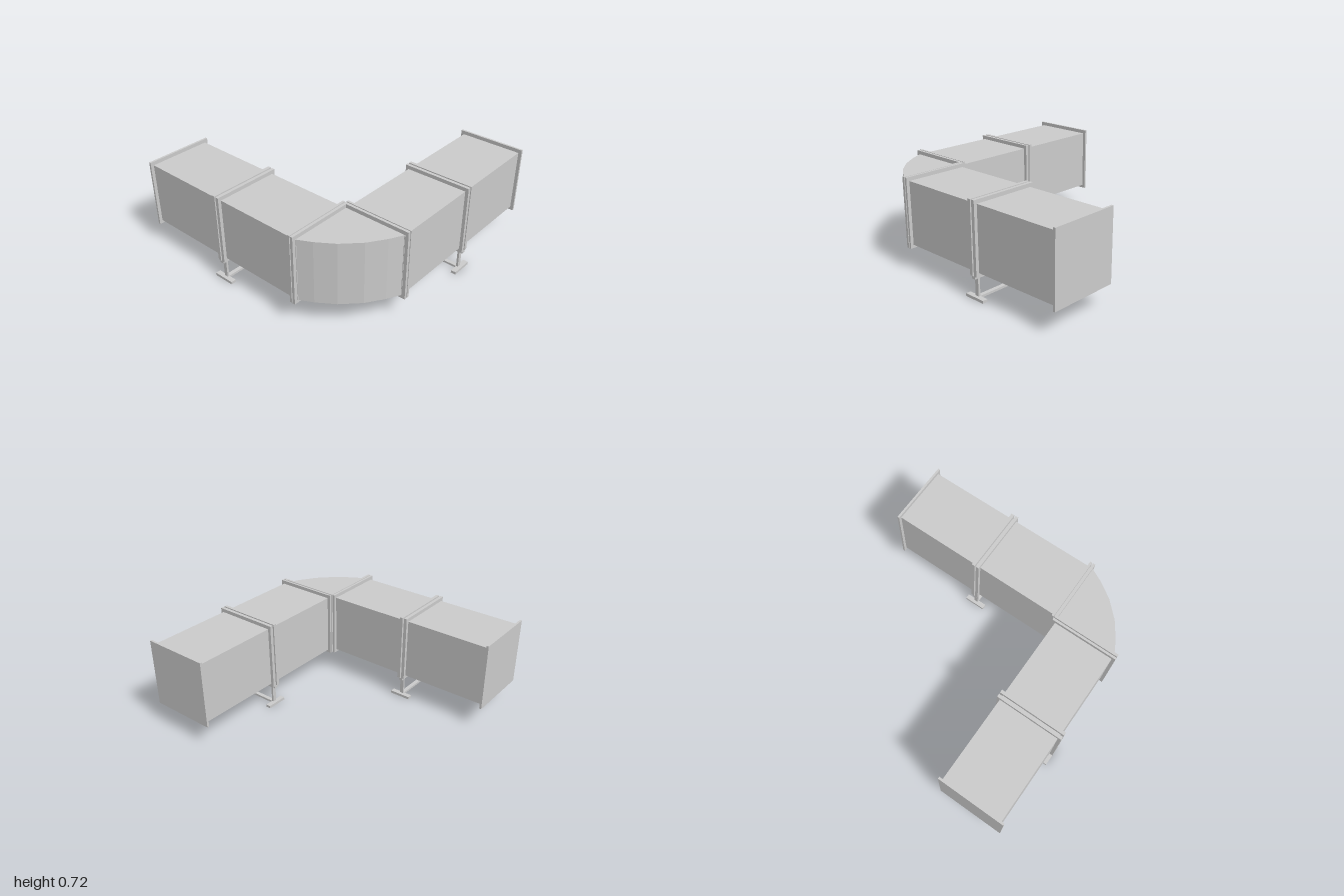
import * as THREE from 'three';

const material = new THREE.MeshStandardMaterial({ color: 0xcccccc, flatShading: true });
const BOTTOM = 0.2, TOP = 0.69, MID = 0.447; // duct heights and flange centre
const CENTRE = 0.73; // distance of each arm's axis from the origin

// Box given by its lower and upper limits on each axis
function block(name, [x0, x1], [y0, y1], [z0, z1]) {
  const mesh = new THREE.Mesh(new THREE.BoxGeometry(x1 - x0, y1 - y0, z1 - z0), material);
  mesh.position.set((x0 + x1) / 2, (y0 + y1) / 2, (z0 + z1) / 2);
  mesh.name = name;
  return mesh;
}

// Stand under the middle joint: two feet, two legs and two cross bars
function createStand() {
  const stand = new THREE.Group();
  stand.name = 'stand';
  const bar = [0.242, 0.273];
  stand.add(block('topBar', bar, [0.155, 0.176], [-0.268, 0.268]));
  stand.add(block('floorBar', bar, [0.003, 0.02], [-0.235, 0.235]));
  for (const side of [-1, 1]) {
    const span = (a, b) => (side > 0 ? [a, b] : [-b, -a]);
    stand.add(block('leg', bar, [0.02, 0.156], span(0.227, 0.243)));
    stand.add(block('foot', [0.172, 0.343], [0, 0.021], span(0.228, 0.268)));
  }
  return stand;
}

// Straight run along x: two duct lengths, flanges and a stand
function createArm() {
  const arm = new THREE.Group();
  arm.add(block('innerDuct', [-0.484, 0.257], [BOTTOM, TOP], [-0.245, 0.245]));
  arm.add(block('outerDuct', [0.257, 0.99], [BOTTOM, TOP], [-0.245, 0.245]));
  const flanges = [[-0.48, -0.459], [-0.452, -0.434], [0.226, 0.251], [0.263, 0.289], [0.983, 1]];
  for (const limits of flanges) {
    arm.add(block('flange', limits, [MID - 0.272, MID + 0.272], [-0.27, 0.27]));
  }
  arm.add(createStand());
  return arm;
}

// Faceted curved corner joining the two arms
function createElbow() {
  const outline = [[-0.484, 0.484], [-0.975, 0.475], [-0.92, 0.582], [-0.834, 0.71],
    [-0.71, 0.834], [-0.582, 0.92], [-0.475, 0.975]];
  const shape = new THREE.Shape(outline.map(([x, z]) => new THREE.Vector2(x, -z)));
  const geometry = new THREE.ExtrudeGeometry(shape, { depth: TOP - BOTTOM, bevelEnabled: false });
  geometry.rotateX(-Math.PI / 2);
  const elbow = new THREE.Mesh(geometry, material);
  elbow.position.y = BOTTOM;
  elbow.name = 'elbow';
  return elbow;
}

export function createModel() {
  const model = new THREE.Group();
  model.name = 'ductCorner';

  const frontArm = createArm();
  frontArm.name = 'frontArm';
  frontArm.position.z = CENTRE;

  const sideArm = createArm();
  sideArm.name = 'sideArm';
  sideArm.rotation.y = Math.PI / 2;
  sideArm.position.x = -CENTRE;

  model.add(frontArm, sideArm, createElbow());
  return model;
}
